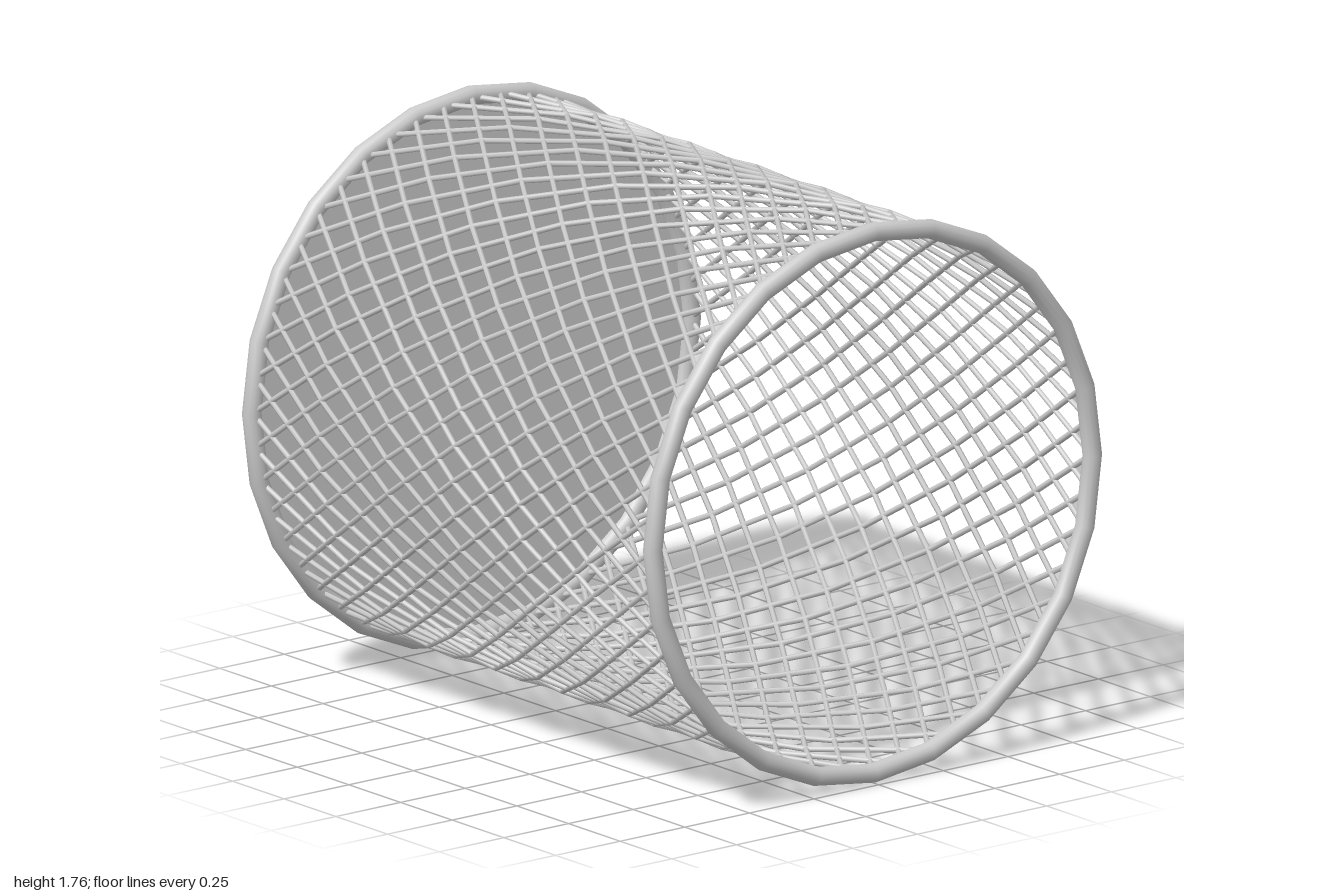
import * as THREE from 'three';

const RADIUS = 0.85;       // rim centre line
const WIRE_RADIUS = 0.846; // mesh cylinder
const HALF = 0.97;         // rim centre from the middle
const WIRES = 48;          // wires in each direction
const STEPS = 6;           // straight pieces per wire
const TWIST = Math.PI / 2; // turn of a wire from end to end

const material = new THREE.MeshStandardMaterial({ color: 0xcccccc });
const thinMaterial = new THREE.MeshStandardMaterial({ color: 0xcccccc, side: THREE.DoubleSide });

function onCylinder(angle, z) {
  return new THREE.Vector3(WIRE_RADIUS * Math.sin(angle), WIRE_RADIUS * Math.cos(angle), z);
}

// One faceted helical wire
function wireGeometry(direction) {
  const path = new THREE.CurvePath();
  for (let i = 0; i < STEPS; i++) {
    const [a, b] = [i, i + 1].map((k) =>
      onCylinder(direction * TWIST * k / STEPS, -HALF + 2 * HALF * k / STEPS));
    path.add(new THREE.LineCurve3(a, b));
  }
  return new THREE.TubeGeometry(path, STEPS, 0.009, 6, false);
}

export function createModel() {
  const basket = new THREE.Group();
  basket.name = 'wireBasket';
  basket.position.y = 0.884;

  const add = (name, geometry, mat = material, parent = basket) => {
    const mesh = new THREE.Mesh(geometry, mat);
    mesh.name = name;
    parent.add(mesh);
    return mesh;
  };

  // Rims at the open and closed ends
  const rim = new THREE.TorusGeometry(RADIUS, 0.03, 12, 24);
  add('openRim', rim).position.z = HALF;
  add('baseRim', rim).position.z = -HALF;

  // Flat disc closing the back
  add('basePlate', new THREE.CircleGeometry(RADIUS, 24), thinMaterial).position.z = -HALF;

  // Crossing wires wound both ways
  const mesh = new THREE.Group();
  mesh.name = 'wireMesh';
  basket.add(mesh);
  for (const direction of [1, -1]) {
    const geometry = wireGeometry(direction);
    for (let i = 0; i < WIRES; i++) {
      const name = direction > 0 ? 'clockwiseWire' : 'counterWire';
      add(name, geometry, material, mesh).rotation.z = i * 2 * Math.PI / WIRES;
    }
  }

  // Small webs filling the wire gaps against the open rim
  const half = Math.PI / WIRES;
  const web = new THREE.BufferGeometry().setFromPoints([
    onCylinder(-half * 0.6, 0.95), onCylinder(half * 0.6, 0.95), onCylinder(0, 0.9),
  ]);
  web.computeVertexNormals();
  for (let i = 0; i < WIRES; i++) {
    add('rimWeb', web, thinMaterial, mesh).rotation.z = (2 * i + 1) * half;
  }

  const model = new THREE.Group();
  model.name = 'basketModel';
  model.add(basket);
  return model;
}
